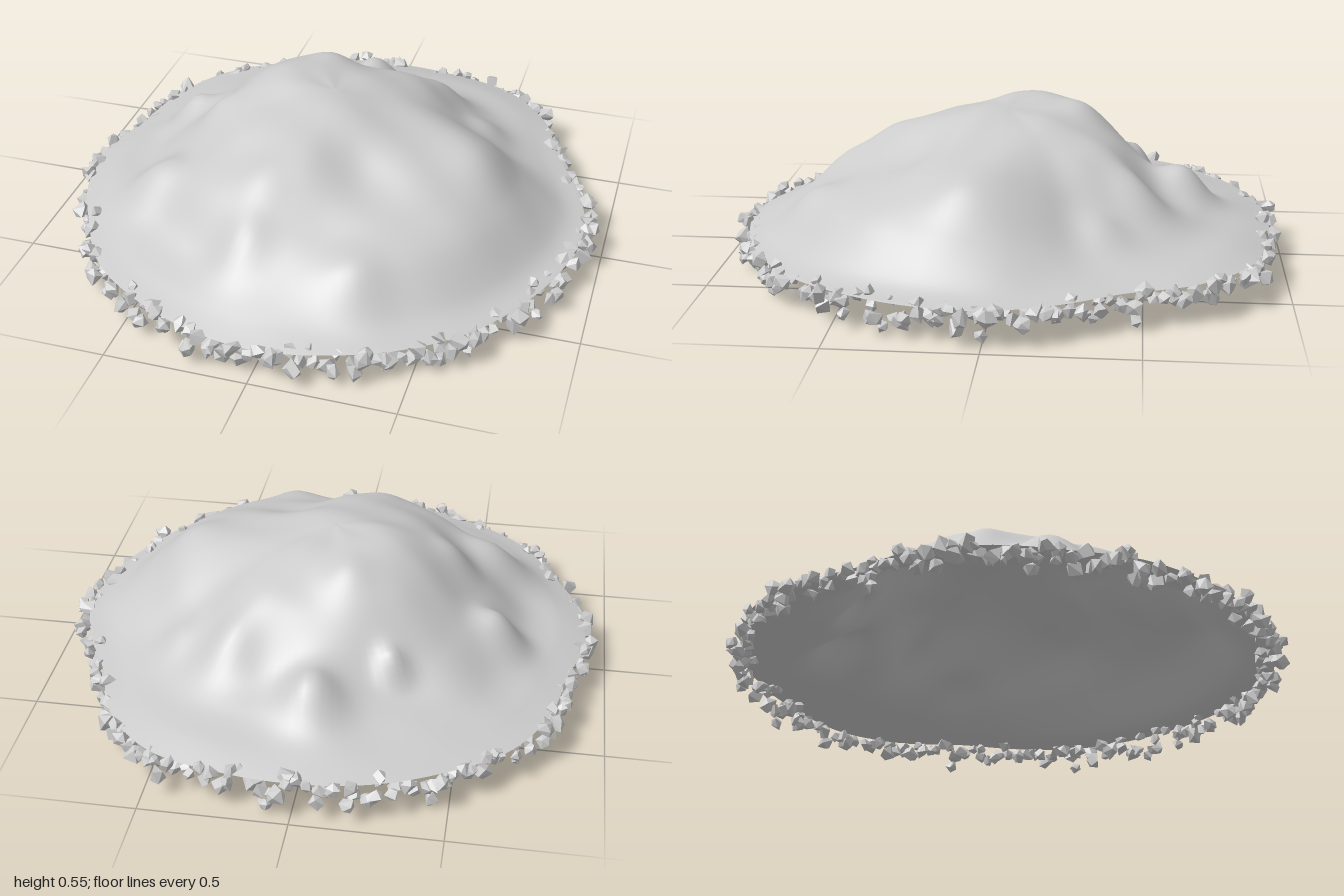
import * as THREE from 'three';
import { mergeGeometries } from 'three/addons/utils/BufferGeometryUtils.js';
import { ConvexGeometry } from 'three/addons/geometries/ConvexGeometry.js';

// Rim radius every 15 degrees, from +x round through +z
const RIM = [0.93, 0.93, 0.93, 0.94, 0.94, 0.94, 0.95, 0.94, 0.935, 0.935, 0.91, 0.92,
  0.92, 0.89, 0.93, 0.96, 0.95, 0.95, 0.95, 0.96, 0.985, 0.95, 0.88, 0.9];
// Radial stations (the first lies across the centre) and the heights on
// the inner five, one profile every 30 degrees
const STATIONS = [-0.2, 0, 0.2, 0.4, 0.6, 0.75, 0.9, 1];
const TOP = 0.53;
const PROFILES = [
  [0.49, 0.44, 0.38, 0.25, 0.14],
  [0.49, 0.43, 0.36, 0.28, 0.14],
  [0.49, 0.39, 0.32, 0.26, 0.14],
  [0.50, 0.43, 0.31, 0.22, 0.14],
  [0.51, 0.44, 0.34, 0.19, 0.13],
  [0.515, 0.44, 0.29, 0.19, 0.135],
  [0.53, 0.46, 0.29, 0.17, 0.14],
  [0.53, 0.47, 0.30, 0.18, 0.14],
  [0.53, 0.45, 0.25, 0.18, 0.145],
  [0.51, 0.43, 0.25, 0.19, 0.155],
  [0.50, 0.43, 0.26, 0.19, 0.155],
  [0.49, 0.43, 0.28, 0.19, 0.14],
];
// Boulders under the surface: x, z, added height, spread
const BUMPS = [
  [-0.19, -0.12, 0.02, 0.08], [-0.57, 0.33, 0.09, 0.085], [-0.62, -0.17, 0.11, 0.062],
  [-0.02, -0.64, 0.11, 0.07], [0.3, -0.48, 0.06, 0.07], [-0.27, -0.48, 0.06, 0.035],
  [0.5, -0.36, 0.04, 0.06], [-0.43, 0.05, 0.03, 0.05], [0.56, 0.12, 0.02, 0.08],
  [-0.14, 0.65, 0.05, 0.065], [0.27, 0.68, 0.035, 0.07], [-0.12, 0.44, 0.03, 0.07],
  [-0.08, -0.28, 0.03, 0.06],
];

function spline(a, b, c, d, t) {
  return b + 0.5 * t * (c - a + t * (2 * a - 5 * b + 4 * c - d + t * (3 * (b - c) + d - a)));
}

// Spline through a list, either closed or clamped at its ends
function sample(list, s, closed) {
  const n = list.length, i = Math.floor(s);
  const at = (k) => list[closed ? (k + n) % n : Math.min(n - 1, Math.max(0, k))];
  return spline(at(i - 1), at(i), at(i + 1), at(i + 2), s - i);
}

function rimRadius(angle) {
  return sample(RIM, (angle / (2 * Math.PI)) * RIM.length, true);
}

// The rim rises slightly towards the back
function rimHeight(angle) {
  return 0.113 - 0.014 * Math.sin(angle);
}

function makeRandom(seed) {
  return () => {
    seed = (seed * 16807) % 2147483647;
    return seed / 2147483647;
  };
}

// Heights at all stations along one direction
function profileAt(angle) {
  const turn = (angle / (2 * Math.PI)) * PROFILES.length;
  const half = PROFILES.length / 2;
  const ring = (k, s) => sample(PROFILES.map((p) => p[k]), s % PROFILES.length, true);
  return [ring(0, turn + half), TOP, ...PROFILES[0].map((_, k) => ring(k, turn)), rimHeight(angle)];
}

// Open, smooth mound made of rings around the centre
function moundGeometry() {
  const rings = 66, segments = 144;
  const positions = [], index = [];
  const angles = Array.from({ length: segments }, (_, j) => (j / segments) * 2 * Math.PI);
  const profiles = angles.map(profileAt);
  for (let i = 0; i <= rings; i++) {
    const s = 1 + (i / rings) * (STATIONS.length - 2);
    const t = sample(STATIONS, s, false);
    angles.forEach((angle, j) => {
      const r = t * rimRadius(angle);
      const x = r * Math.cos(angle), z = r * Math.sin(angle);
      let y = sample(profiles[j], s, false);
      for (const [bx, bz, h, w] of BUMPS) {
        y += h * Math.exp(-((x - bx) ** 2 + (z - bz) ** 2) / (2 * w * w));
      }
      // Gentle weathering that fades out at the rim
      y += 0.004 * (1 - t * t) * (Math.sin(17 * x + 5 * z) + Math.sin(23 * z - 12 * x));
      positions.push(x, y, z);
    });
  }
  for (let i = 0; i < rings; i++) {
    for (let j = 0; j < segments; j++) {
      const k = (j + 1) % segments;
      const a = i * segments + j, b = i * segments + k;
      const c = a + segments, d = b + segments;
      if (i > 0) index.push(a, b, c);
      index.push(b, d, c);
    }
  }
  const geometry = new THREE.BufferGeometry();
  geometry.setAttribute('position', new THREE.Float32BufferAttribute(positions, 3));
  geometry.setIndex(index);
  geometry.computeVertexNormals();
  // All centre points share the upward normal
  for (let j = 0; j < segments; j++) geometry.attributes.normal.setXYZ(j, 0, 1, 0);
  return geometry;
}

// Angular chip of stone: the hull of a few scattered points
function stoneGeometry(random, size) {
  const points = [];
  for (let i = 0; i < 9; i++) {
    const up = 1.8 * ((i + 0.5) / 9) - 0.9;
    const turn = i * 2.4 + random() * 0.9;
    const flat = Math.sqrt(1 - up * up);
    points.push(new THREE.Vector3(flat * Math.cos(turn), up, flat * Math.sin(turn))
      .multiplyScalar(size * (0.75 + 0.4 * random())));
  }
  const geometry = new ConvexGeometry(points);
  geometry.rotateX(random() * 6).rotateZ(random() * 6);
  return geometry;
}

export function createModel() {
  const group = new THREE.Group();
  group.name = 'rockyMound';

  const mound = new THREE.Mesh(moundGeometry(),
    new THREE.MeshStandardMaterial({ color: 0xcccccc, side: THREE.DoubleSide }));
  mound.name = 'mound';
  group.add(mound);

  // Loose stones crowded along the rim
  const random = makeRandom(4711);
  const count = 250, stones = [];
  for (let i = 0; i < count; i++) {
    const angle = ((i + random()) / count) * 2 * Math.PI;
    const size = 0.023 + 0.014 * random();
    const r = rimRadius(angle) + (random() - 0.55) * 0.07;
    const y = rimHeight(angle) - 0.058 + 0.068 * random();
    stones.push(stoneGeometry(random, size)
      .translate(r * Math.cos(angle), y, r * Math.sin(angle)));
  }
  // A few that have slipped lower
  for (let i = 0; i < 10; i++) {
    const angle = i * 2.4;
    const r = rimRadius(angle);
    stones.push(stoneGeometry(random, 0.027)
      .translate(r * Math.cos(angle), 0.028, r * Math.sin(angle)));
  }
  const rimStones = new THREE.Mesh(mergeGeometries(stones),
    new THREE.MeshStandardMaterial({ color: 0xcccccc, flatShading: true }));
  rimStones.name = 'rimStones';
  group.add(rimStones);

  return group;
}
